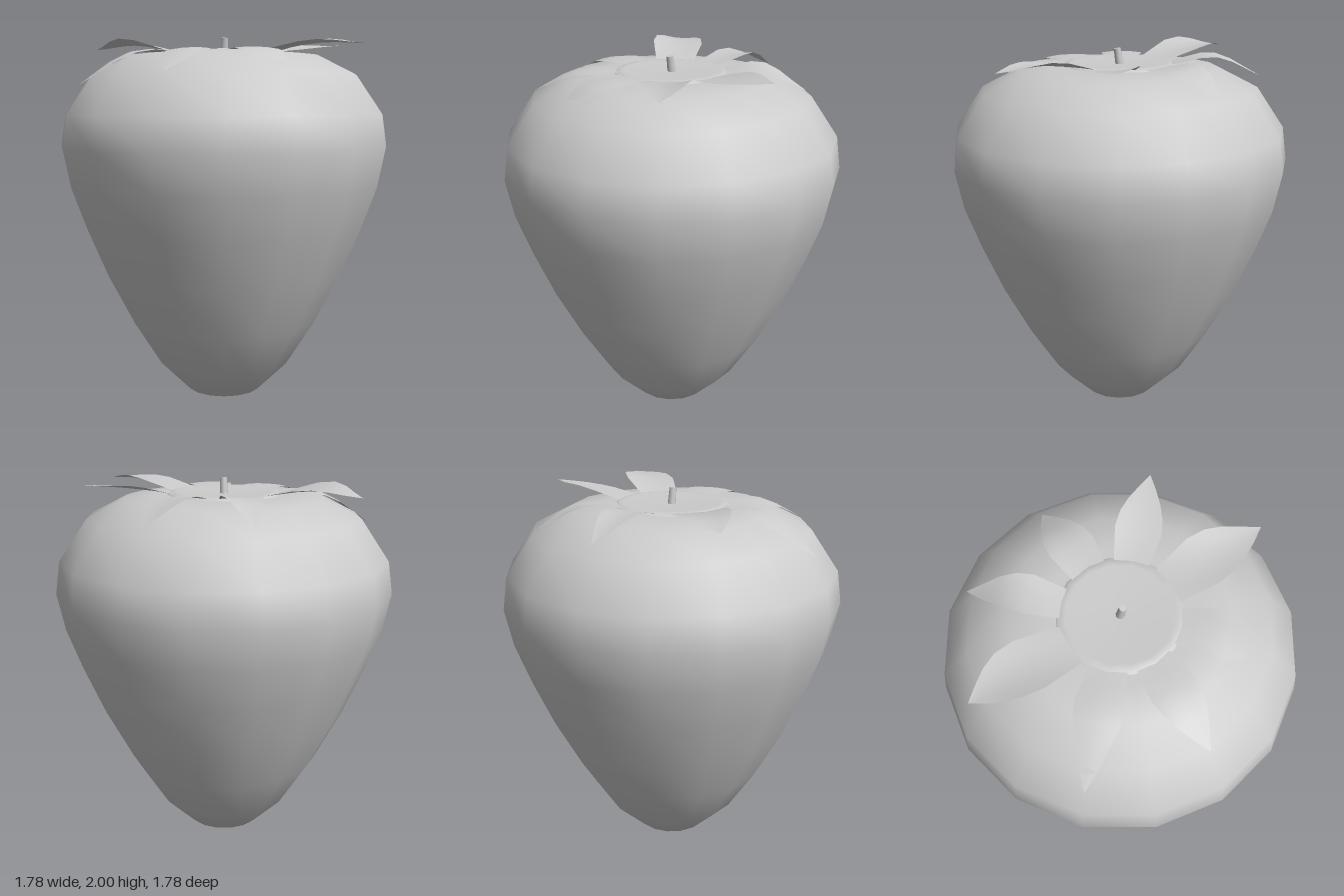
import * as THREE from 'three';

const v2 = (p) => new THREE.Vector2(p[0], p[1]);

function lathe(name, points, sides, material) {
  const mesh = new THREE.Mesh(new THREE.LatheGeometry(points.map(v2), sides), material);
  mesh.name = name;
  return mesh;
}

// Pointed leaf along +z: a centre line of [radius, height] points, swept with
// a tapering, slightly cupped cross-section.
function leafGeometry(line, halfWidth, cup, twist) {
  const curve = new THREE.CatmullRomCurve3(line.map(([r, y]) => new THREE.Vector3(0, y, r)));
  const widths = [0.75, 0.88, 1, 0.92, 0.7, 0.38, 0];
  const rows = widths.length - 1;
  const across = [-1, -0.5, 0, 0.5, 1];
  const positions = [];
  const index = [];
  widths.forEach((w, i) => {
    const p = curve.getPoint(i / rows);
    for (const s of across) {
      const lift = (cup * s * s + twist * s) * w * Math.sin((Math.PI * i) / rows);
      positions.push(s * w * halfWidth, p.y + lift, p.z);
    }
  });
  const n = across.length;
  for (let i = 0; i < rows; i++) {
    for (let j = 0; j < n - 1; j++) {
      const a = i * n + j;
      index.push(a, a + n, a + 1, a + 1, a + n, a + n + 1);
    }
  }
  const geometry = new THREE.BufferGeometry();
  geometry.setAttribute('position', new THREE.Float32BufferAttribute(positions, 3));
  geometry.setIndex(index);
  geometry.computeVertexNormals();
  return geometry;
}

export function createModel() {
  const model = new THREE.Group();
  model.name = 'strawberry';
  const grey = new THREE.MeshStandardMaterial({ color: 0xcccccc });
  const thin = new THREE.MeshStandardMaterial({ color: 0xcccccc, side: THREE.DoubleSide });

  // Sixteen-sided fruit body
  model.add(lathe('fruit', [
    [0, 0], [0.2, 0.06], [0.37, 0.23], [0.52, 0.47], [0.66, 0.74], [0.77, 1.0],
    [0.85, 1.22], [0.89, 1.42], [0.865, 1.59], [0.72, 1.8], [0.52, 1.9],
    [0.35, 1.916], [0, 1.912],
  ], 16, grey));

  // Dished disc that carries the leaves
  model.add(lathe('calyxDisc', [
    [0.3, 1.912], [0.285, 1.925], [0.25, 1.93], [0.21, 1.922], [0, 1.918],
  ], 16, thin));

  // Leaves: direction [x, z], bend [r, y], tip [r, y], half width, cup, twist
  const leaves = [
    ['backLeaf', [0, -1], [0.5, 1.955], [0.73, 1.86], 0.1, 0.01, 0],
    ['backRightLeaf', [-1, -1], [0.58, 1.975], [0.79, 1.95], 0.135, 0.02, 0.01],
    ['rightLeaf', [-1, 0], [0.52, 1.915], [0.8, 1.74], 0.115, -0.01, 0],
    ['frontRightLeaf', [-1, 1], [0.5, 1.915], [0.73, 1.8], 0.115, -0.01, 0],
    ['frontLeaf', [0, 1], [0.5, 1.915], [0.78, 1.71], 0.12, -0.01, 0],
    ['frontLeftLeaf', [1, 1], [0.55, 1.96], [0.79, 1.95], 0.13, 0.02, 0.01],
    ['leftLeaf', [1, 0], [0.5, 1.955], [0.72, 1.975], 0.11, 0.01, 0.015],
    ['backLeftLeaf', [1, -1], [0.48, 1.93], [0.69, 1.83], 0.115, 0.005, 0.015],
  ];
  for (const [name, [x, z], bend, tip, width, cup, twist] of leaves) {
    const leaf = new THREE.Mesh(leafGeometry([[0.26, 1.924], bend, tip], width, cup, twist), thin);
    leaf.name = name;
    leaf.rotation.y = Math.atan2(x, z);
    model.add(leaf);
  }

  // Short stem leaning slightly forward
  const stem = new THREE.Mesh(new THREE.CylinderGeometry(0.018, 0.022, 0.1, 8), grey);
  stem.name = 'stem';
  stem.position.set(0, 1.948, 0.005);
  stem.rotation.x = 0.15;
  model.add(stem);

  return model;
}
